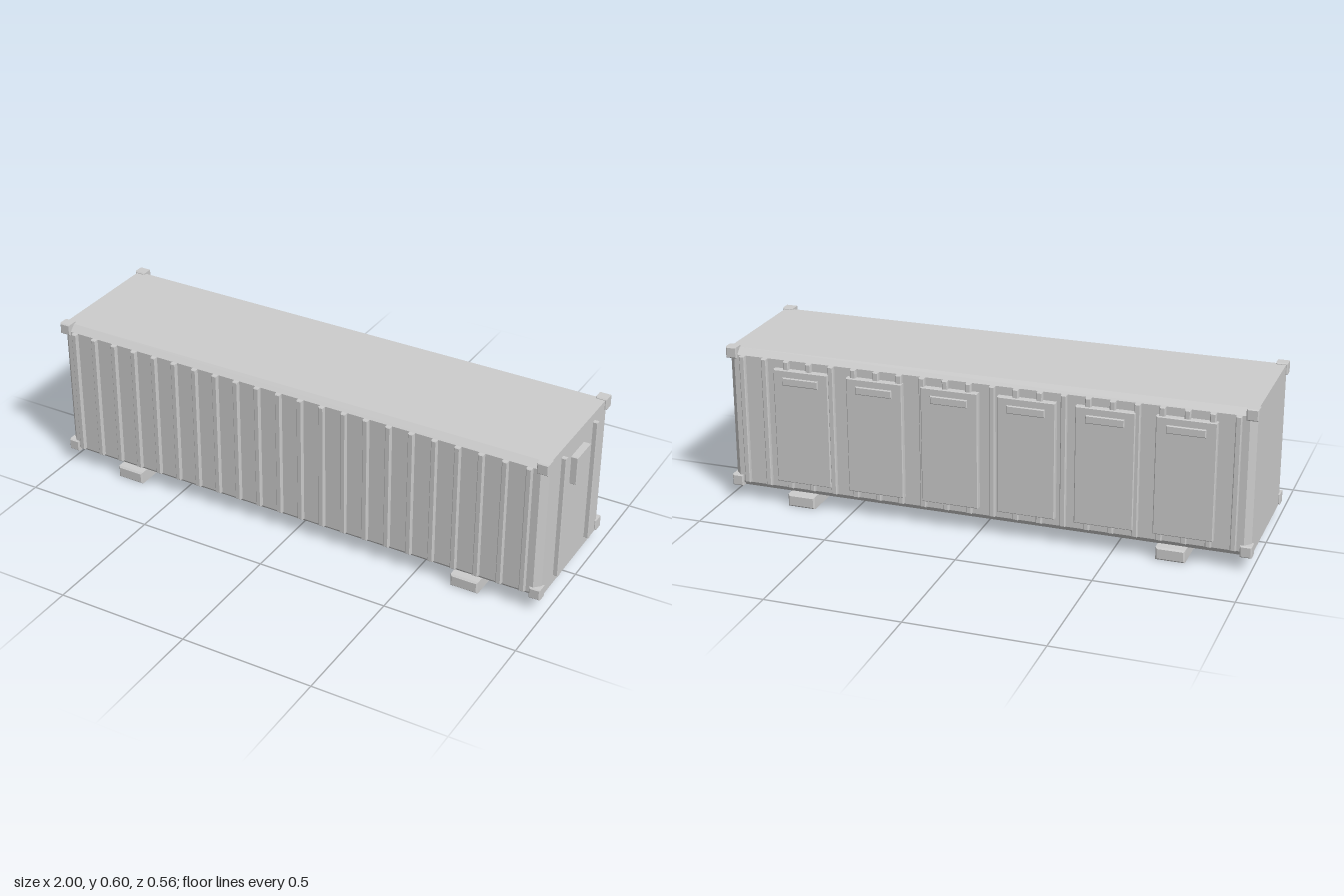
import * as THREE from 'three';

const grey = new THREE.MeshStandardMaterial({ color: 0xcccccc });
grey.name = 'light grey';

// Box between two corners with every edge chamfered by c
function chamferBox(name, [x0, x1], [y0, y1], [z0, z1], c) {
  const w = (x1 - x0) / 2 - c, h = (y1 - y0) / 2 - c;
  const shape = new THREE.Shape([
    new THREE.Vector2(-w, -h), new THREE.Vector2(w, -h),
    new THREE.Vector2(w, h), new THREE.Vector2(-w, h),
  ]);
  const geometry = new THREE.ExtrudeGeometry(shape, {
    depth: z1 - z0 - 2 * c, bevelEnabled: true,
    bevelSize: c, bevelThickness: c, bevelSegments: 1,
  });
  geometry.translate((x0 + x1) / 2, (y0 + y1) / 2, z0 + c);
  const mesh = new THREE.Mesh(geometry, grey);
  mesh.name = name;
  return mesh;
}

const around = (centre, size) => [centre - size / 2, centre + size / 2];

export function createModel() {
  const model = new THREE.Group();
  model.name = 'container';

  // Main body
  model.add(chamferBox('body', [-0.993, 0.974], [0.047, 0.594], [-0.252, 0.266], 0.023));

  // Corner castings
  for (const x of [[-1, -0.957], [0.938, 0.981]])
    for (const y of [[0.051, 0.094], [0.557, 0.6]])
      for (const z of [[-0.26, -0.217], [0.23, 0.273]])
        model.add(chamferBox('cornerCasting', x, y, z, 0.004));

  // Upright ribs along both long sides
  for (let i = 0; i < 22; i++) {
    const x = around(-0.934 + i * 0.088, 0.021);
    model.add(chamferBox('frontRib', x, [0.073, 0.571], [0.25, 0.281], 0.003));
    model.add(chamferBox('backRib', x, [0.073, 0.571], [-0.268, -0.237], 0.003));
  }

  // Access doors with handles on the back
  for (let i = 0; i < 6; i++) {
    const x = -0.757 + i * 0.287;
    model.add(chamferBox('door', around(x, 0.215), [0.1, 0.54], [-0.274, -0.245], 0.003));
    model.add(chamferBox('doorHandle', around(x, 0.14), [0.483, 0.513], [-0.28, -0.265], 0.003));
  }

  // Ribs and vent on the left end
  for (const z of [0.14, -0.126])
    model.add(chamferBox('endRib', [0.96, 0.992], [0.079, 0.562], around(z, 0.017), 0.003));
  model.add(chamferBox('vent', [0.965, 1], [0.41, 0.52], [-0.048, 0.062], 0.003));

  // Skids under the floor, with short spacers up to the body
  for (const x of [-0.714, 0.697])
    model.add(chamferBox('skid', around(x, 0.107), [0, 0.048], [-0.269, 0.281], 0.006));

  return model;
}
